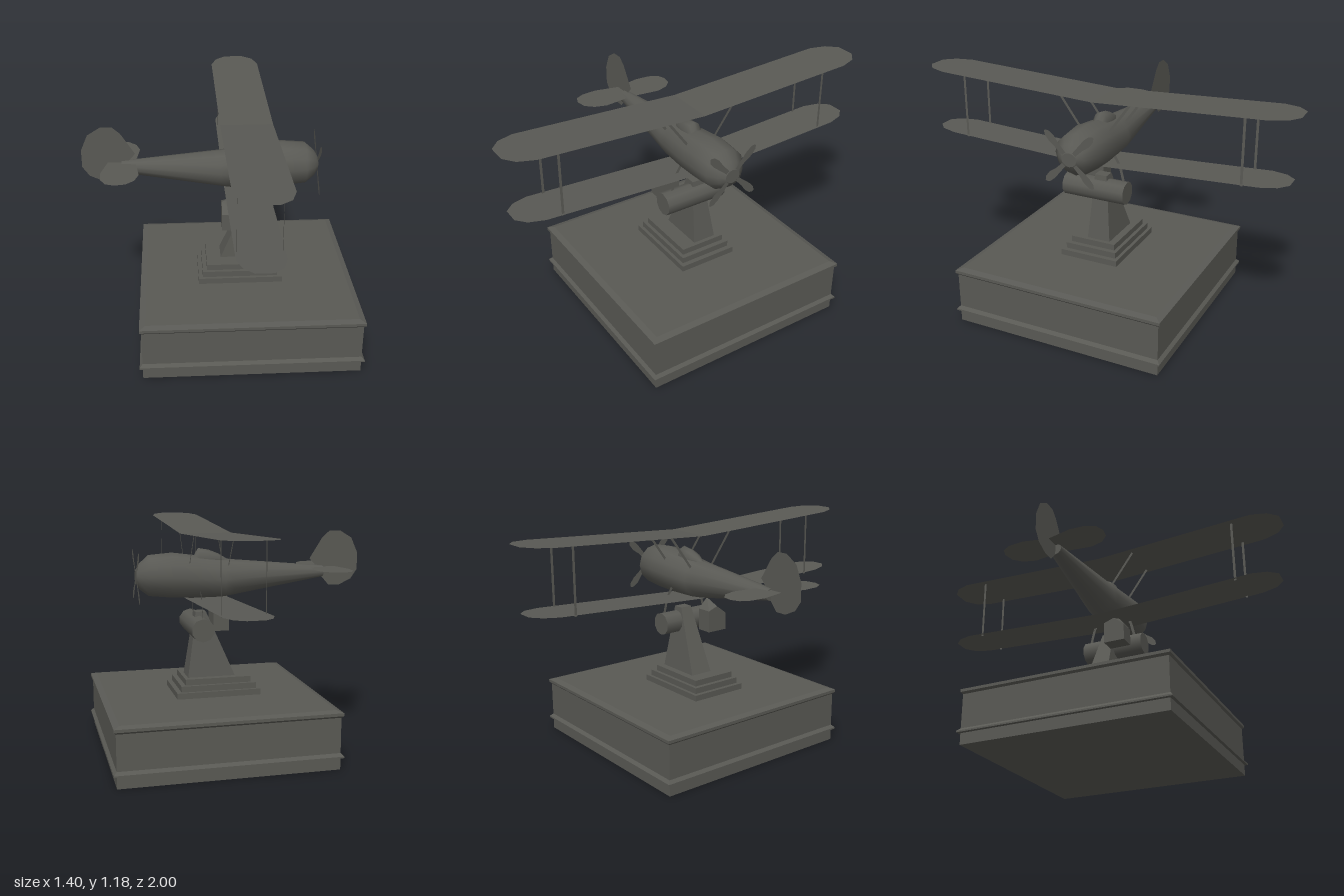
import * as THREE from 'three';

const body = new THREE.MeshStandardMaterial({ color: 0x595954 });
body.name = 'dark olive grey';
const sheet = body.clone();
sheet.side = THREE.DoubleSide; // same colour, for thin surfaces

const range = n => [...Array(n).keys()];

// Skin a stack of equal-length rings and cap both ends
function loft(rings, smooth = false) {
  const n = rings[0].length, pos = rings.flat(2), index = [];
  for (let i = 0; i < rings.length - 1; i++) {
    for (let j = 0; j < n; j++) {
      const k = (j + 1) % n, a = i * n + j, b = i * n + k;
      index.push(a, b, b + n, a, b + n, a + n);
    }
  }
  const first = pos.length / 3;
  pos.push(...rings[0].flat(), ...rings[rings.length - 1].flat());
  for (let j = 1; j < n - 1; j++) {
    index.push(first, first + j + 1, first + j);
    index.push(first + n, first + n + j, first + n + j + 1);
  }
  let g = new THREE.BufferGeometry();
  g.setAttribute('position', new THREE.Float32BufferAttribute(pos, 3));
  g.setIndex(index);
  if (!smooth) g = g.toNonIndexed();
  g.computeVertexNormals();
  return g;
}

// Rectangle at height y, counter-clockwise from above
const rect = (y, x0, x1, z0, z1) => [[x1, y, z1], [x1, y, z0], [x0, y, z0], [x0, y, z1]];

// Oval section across x
const oval = (x, y, ry, rz, n = 12) => range(n).map(i => {
  const a = i / n * Math.PI * 2;
  return [x, y + Math.cos(a) * ry, Math.sin(a) * rz];
});

// Flat fan of triangles through a convex outline
function plate(points) {
  const pos = [];
  for (let i = 1; i < points.length - 1; i++) pos.push(...points[0], ...points[i], ...points[i + 1]);
  const g = new THREE.BufferGeometry();
  g.setAttribute('position', new THREE.Float32BufferAttribute(pos, 3));
  g.computeVertexNormals();
  return g;
}

// Flat strut across x between two [z, y] points
function strut(x, [z0, y0], [z1, y1], w) {
  const l = Math.hypot(z1 - z0, y1 - y0);
  const dz = (y1 - y0) / l * w / 2, dy = -(z1 - z0) / l * w / 2;
  return plate([[x, y0 + dy, z0 + dz], [x, y1 + dy, z1 + dz], [x, y1 - dy, z1 - dz], [x, y0 - dy, z0 - dz]]);
}

export function createModel() {
  const model = new THREE.Group();
  model.name = 'biplaneOnPedestal';
  const add = (name, geometry, material = body) => {
    const m = new THREE.Mesh(geometry, material);
    m.name = name;
    model.add(m);
    return m;
  };

  // Plinth with mouldings: [height, half width]
  const plinth = [[0, 0.55], [0.06, 0.55], [0.062, 0.565], [0.07, 0.565], [0.085, 0.55],
    [0.265, 0.55], [0.275, 0.56], [0.29, 0.56], [0.3, 0.53]];
  add('plinth', loft(plinth.map(([y, h]) => rect(y, 0.133 - h, 0.133 + h, -h, h))));

  // Three steps
  [[-0.12, 0.32, 0.157], [-0.098, 0.295, 0.14], [-0.075, 0.27, 0.122]].forEach(([x0, x1, z], i) => {
    const y = 0.3 + i * 0.031;
    add('step', loft([rect(y, x0, x1, -z, z), rect(y + 0.031, x0, x1, -z, z)]));
  });

  // Leaning column, cross drum and side bracket
  add('column', loft([rect(0.39, 0, 0.25, -0.085, 0.04), rect(0.6, 0.09, 0.217, -0.06, 0.028),
    rect(0.73, 0.145, 0.2, -0.045, 0.02)]));
  const drum = add('drum', new THREE.CylinderGeometry(0.06, 0.06, 0.34, 10).rotateX(Math.PI / 2));
  drum.position.set(0.182, 0.65, 0.018);
  const bracket = lift => [[0.745 + lift, 0.085], [0.7, 0.145], [0.61, 0.145], [0.61, 0.03], [0.725, 0.03]];
  add('bracket', loft([[0.003, 0], [0.088, 0.033]].map(([x, lift]) =>
    bracket(lift).map(([y, z]) => [x, y, z]))));

  // Fuselage: [x, bottom, top, half width]
  const hull = [[-0.5, 0.887, 0.947, 0.033], [0, 0.805, 0.993, 0.092], [0.05, 0.798, 1.0, 0.098],
    [0.2, 0.797, 1.02, 0.112], [0.315, 0.802, 1.035, 0.117], [0.435, 0.815, 1.025, 0.108],
    [0.48, 0.85, 0.985, 0.07], [0.5, 0.88, 0.95, 0.04]];
  add('fuselage', loft(hull.map(([x, b, t, w]) => oval(x, (b + t) / 2, (t - b) / 2, w)), true));

  // Cockpit hump
  const hump = [[0.02, 0.005, 0.01], [0.07, 0.035, 0.035], [0.12, 0.055, 0.042],
    [0.175, 0.065, 0.042], [0.2, 0.02, 0.03]];
  add('cockpitHump', loft(hump.map(([x, ry, rz]) => oval(x, 0.99, ry, rz, 10)), true));

  // Tail fin and rudder
  const fin = [[-0.7, 0.92], [-0.7, 1.01], [-0.665, 1.09], [-0.6, 1.13], [-0.54, 1.13], [-0.5, 1.095],
    [-0.43, 0.985], [-0.5, 0.91], [-0.5, 0.885], [-0.54, 0.84], [-0.6, 0.84], [-0.665, 0.87]];
  add('tailFin', new THREE.ShapeGeometry(new THREE.Shape(fin.map(p => new THREE.Vector2(...p)))), sheet);

  // Propeller blade outline: [distance from hub, half width]
  const blade = [[0, 0.008], [0.09, 0.012], [0.13, 0.02], [0.165, 0.016], [0.18, 0.004]];
  const outline = [...blade, ...blade.map(([r, w]) => [r, -w]).reverse()];
  for (const i of range(4)) {
    const b = add('propellerBlade', plate(outline.map(([r, w]) => [0, r, w])), sheet);
    b.position.set(0.498, 0.918, 0);
    b.rotation.x = Math.PI / 4 + i * Math.PI / 2;
  }

  // Wing half outline: [x, z]
  const wing = [[0, 0], [0, 0.87], [0.03, 0.95], [0.085, 1], [0.185, 1], [0.24, 0.955], [0.267, 0.87], [0.267, 0]];
  const tail = [[-0.57, 0], [-0.6, 0.13], [-0.595, 0.21], [-0.57, 0.258], [-0.525, 0.275], [-0.47, 0.265],
    [-0.43, 0.225], [-0.41, 0.16], [-0.43, 0.0]];
  for (const s of [1, -1]) {
    // Wings rise gently towards the tips
    add('upperWing', plate(wing.map(([x, z]) => [x, 1.13 + z * 0.048, z * s])), sheet);
    add('lowerWing', plate(wing.map(([x, z]) => [0.02 + x * 0.845, 0.797 + z * 0.048, z * s * 0.97])), sheet);
    add('tailplane', plate(tail.map(([x, z]) => [x, 0.94, z * s])), sheet);
    for (const x of [0.03, 0.235]) {
      add('wingStrut', strut(x, [0.757 * s, 0.825], [0.757 * s, 1.166], 0.013), sheet);
      add('cabaneStrut', strut(x, [0.07 * s, 0.97], [0.19 * s, 1.135], 0.013), sheet);
    }
    // Undercarriage legs
    add('undercarriageLeg', strut(0.18, [0.08 * s, 0.84], [0.11 * s, 0.79], 0.015), sheet);
    add('undercarriageLeg', strut(0.18, [0.11 * s, 0.79], [0.135 * s, 0.69], 0.015), sheet);
  }
  return model;
}
